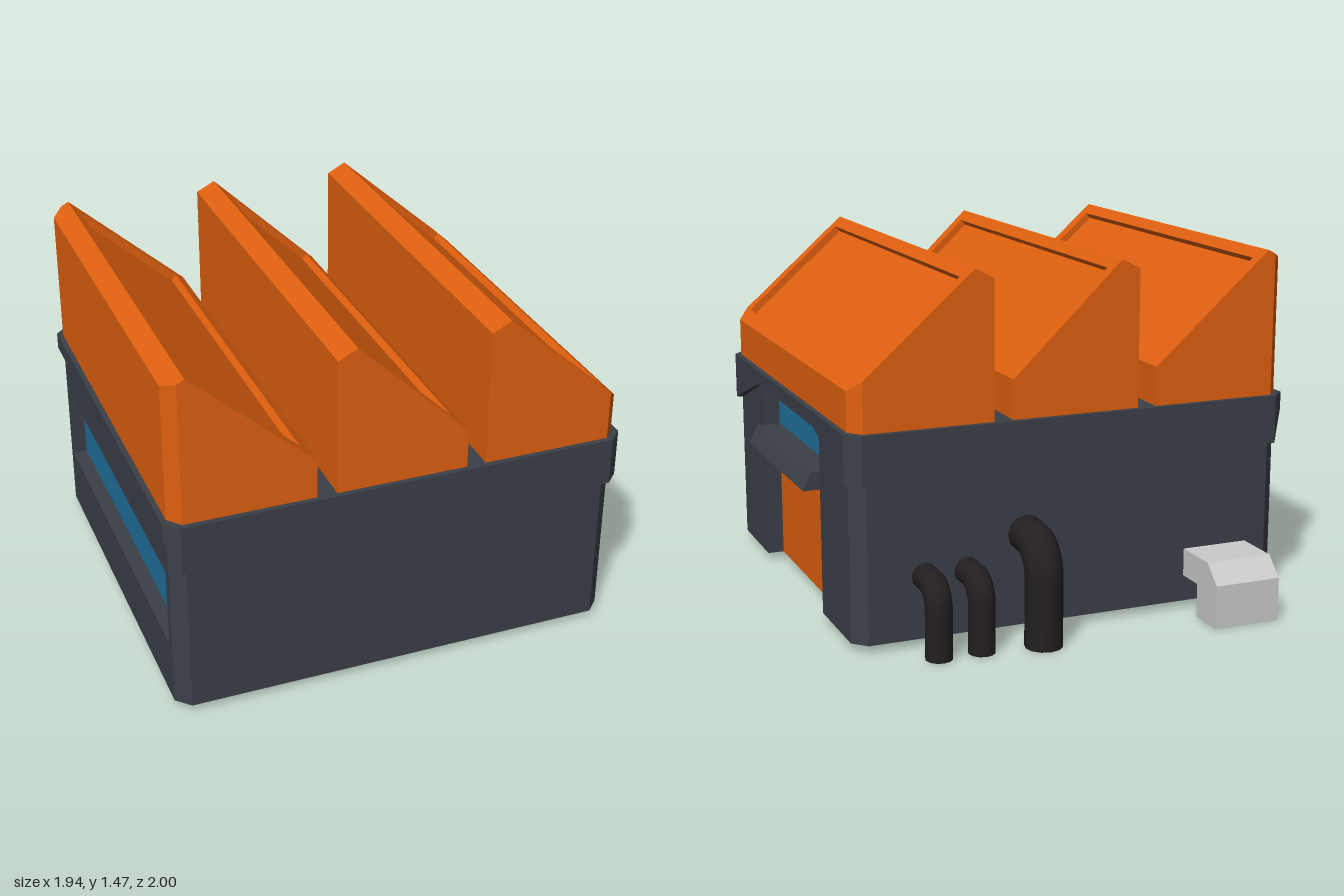
import * as THREE from 'three';

const mat = (color) => new THREE.MeshStandardMaterial({ color, side: THREE.DoubleSide, flatShading: true });
const ORANGE = mat(0xe0600f), WALL = mat(0x3b4048), GLASS = mat(0x21719c), GREY = mat(0xcccccc);
const PIPE = new THREE.MeshStandardMaterial({ color: 0x231f20, side: THREE.DoubleSide });

// Convex polygons (arrays of [x, y, z]) to a faceted geometry
function facets(polys) {
  const pos = [];
  for (const p of polys)
    for (let i = 1; i < p.length - 1; i++) pos.push(...p[0], ...p[i], ...p[i + 1]);
  const g = new THREE.BufferGeometry();
  g.setAttribute('position', new THREE.Float32BufferAttribute(pos, 3));
  g.computeVertexNormals();
  return g;
}

// Quads joining two closed loops, leaving out the listed edges
function ring(a, b, skip = []) {
  const quads = [];
  a.forEach((p, i) => {
    const j = (i + 1) % a.length;
    if (!skip.includes(i)) quads.push([p, a[j], b[j], b[i]]);
  });
  return quads;
}

// Rectangle in a plane of constant x
const rectX = (x, z0, z1, y0, y1) => [[x, y0, z0], [x, y0, z1], [x, y1, z1], [x, y1, z0]];

const X0 = -0.95, X1 = 0.9, Z0 = -0.72, Z1 = 0.975, C = 0.055;
const BASE = 0.03, BAND = 0.67, DECK = 0.87;
const DOOR = { z0: -0.295, z1: 0.545, top: 0.81, x: 0.83 };
const WIN = { z0: -0.64, z1: 0.88, y0: 0.28, y1: 0.61, x: -0.89 };

// Chamfered plan outline, each point at the height of the band's lower edge
function outline(o) {
  const x0 = X0 - o, x1 = X1 + o, z0 = Z0 - o, z1 = Z1 + o;
  return [
    [x0 + C, BAND, z1], [x1 - C, BAND, z1], [x1, BAND, z1 - C],
    [x1, DOOR.top, DOOR.z1], [x1, DOOR.top, DOOR.z0],
    [x1, BAND, z0 + C], [x1 - C, BAND, z0], [x0 + C, BAND, z0],
    [x0, 0.8, z0 + C], [x0, 0.8, z1 - C],
  ];
}
const atY = (loop, y) => loop.map(([x, , z]) => [x, y, z]);

// Sawtooth roof: chamfered shell with a recessed panel in its slope
function sawtooth(x0, x1, cutLeft, cutRight) {
  const g = new THREE.Group();
  g.name = 'roofTooth';
  const peak = x0 + 0.078, top = 1.47, eave = 1.03, tilt = (top - eave) / (x1 - peak);
  const section = (z, cl, cr) => [
    [x0 + cl, DECK, z], [x1 - cr, DECK, z], [x1 - cr, eave + cr * tilt, z],
    [peak, top, z], [x0 + cl, 1.43 + cl * 0.5, z],
  ];
  const cl = cutLeft ? 0.047 : 0, cr = cutRight ? 0.048 : 0;
  const s = [section(Z1, cl, cr), section(Z1 - C, 0, 0), section(Z0 + C, 0, 0), section(Z0, cl, cr)];
  const polys = [s[0], [...s[3]].reverse()];
  for (let i = 0; i < 3; i++) polys.push(...ring(s[i + 1], s[i], [0, 2]));
  const shell = new THREE.Mesh(facets(polys), ORANGE);
  shell.name = 'toothShell';

  // Slope frame, drawn flat: u runs down the slope, v runs along z
  const len = Math.hypot(x1 - peak, top - eave), k = len / (x1 - peak), c = cr * k;
  const frame = new THREE.Shape([
    [0, Z0], [len - c, Z0], [len, Z0 + (c ? C : 0)], [len, Z1 - (c ? C : 0)], [len - c, Z1], [0, Z1],
  ].map((p) => new THREE.Vector2(...p)));
  const u0 = 0.055, u1 = len - 0.065, v0 = -0.665, v1 = 0.915;
  frame.holes.push(new THREE.Path([[u0, v0], [u0, v1], [u1, v1], [u1, v0]].map((p) => new THREE.Vector2(...p))));
  const slope = new THREE.Group();
  const u = new THREE.Vector3(x1 - peak, eave - top, 0).normalize(), v = new THREE.Vector3(0, 0, 1);
  const inward = new THREE.Vector3().crossVectors(u, v);
  slope.applyMatrix4(new THREE.Matrix4().makeBasis(u, v, inward).setPosition(peak, top, 0));
  // the basis normal points out of the roof, so the frame sinks along -w
  const depth = 0.03, sign = inward.y > 0 ? -1 : 1;
  const rim = new THREE.Mesh(new THREE.ExtrudeGeometry(frame, { depth, bevelEnabled: false }), ORANGE);
  rim.position.z = sign < 0 ? -depth : 0;
  rim.name = 'slopeFrame';
  const panel = new THREE.Mesh(new THREE.PlaneGeometry(u1 - u0, v1 - v0), ORANGE);
  panel.position.set((u0 + u1) / 2, (v0 + v1) / 2, sign * depth);
  panel.name = 'slopePanel';
  slope.add(rim, panel);
  g.add(shell, slope);
  return g;
}

// Elbow pipe leaving the back wall and turning down to the ground
function elbow(x, r, y, z, bend) {
  const path = new THREE.CurvePath();
  const V = (yy, zz) => new THREE.Vector3(x, yy, zz);
  const pts = [V(y, Z0 + 0.02), V(y, z + bend)];
  for (let i = 1; i <= 6; i++) {
    const a = (i / 6) * Math.PI / 2;
    pts.push(V(y - bend + bend * Math.cos(a), z + bend - bend * Math.sin(a)));
  }
  pts.push(V(0, z));
  for (let i = 0; i < pts.length - 1; i++) path.add(new THREE.LineCurve3(pts[i], pts[i + 1]));
  const g = new THREE.Group();
  g.name = 'pipe';
  const tube = new THREE.Mesh(new THREE.TubeGeometry(path, 40, r, 12), PIPE);
  const cap = new THREE.Mesh(new THREE.CircleGeometry(r, 12), PIPE);
  cap.rotation.x = Math.PI / 2;
  cap.position.set(x, 0.002, z);
  g.add(tube, cap);
  return g;
}

export function createModel() {
  const model = new THREE.Group();
  model.name = 'factory';
  const add = (name, geometry, material) => {
    const m = new THREE.Mesh(geometry, material);
    m.name = name;
    model.add(m);
  };

  // Walls, open below, with a doorway on the left side and a long window opposite
  const inner = outline(0), outer = outline(0.022);
  add('walls', facets([
    ...ring(atY(inner, BASE), inner, [3, 8]),
    ...ring(rectX(X0, Z0 + C, Z1 - C, BASE, 0.8), rectX(X0, WIN.z0, WIN.z1, WIN.y0, WIN.y1)),
    ...ring(rectX(X0, WIN.z0, WIN.z1, WIN.y0, WIN.y1), rectX(WIN.x, WIN.z0, WIN.z1, WIN.y0, WIN.y1)),
    ...ring(rectX(X1, DOOR.z0, DOOR.z1, BASE, DOOR.top), rectX(DOOR.x, DOOR.z0, DOOR.z1, BASE, DOOR.top), [0]),
  ]), WALL);

  // Raised band around the top
  add('topBand', facets([...ring(outer, atY(outer, DECK)), ...ring(inner, outer)]), WALL);

  // Roof deck, cut out under each tooth
  const teeth = [[X0, -0.375, true, false], [-0.295, 0.243, false, false], [0.322, X1, false, true]];
  const deck = new THREE.Shape(outer.map(([x, , z]) => new THREE.Vector2(x, -z)));
  for (const [a, b, l, r] of teeth) {
    const cl = l ? C : 0, cr = r ? C : 0;
    deck.holes.push(new THREE.Path([
      [a + cl, Z1], ...(l ? [[a, Z1 - C], [a, Z0 + C]] : []), [a + cl, Z0],
      [b - cr, Z0], ...(r ? [[b, Z0 + C], [b, Z1 - C]] : []), [b - cr, Z1],
    ].map(([x, z]) => new THREE.Vector2(x, -z))));
  }
  add('roofDeck', new THREE.ShapeGeometry(deck).rotateX(-Math.PI / 2).translate(0, DECK, 0), WALL);
  for (const t of teeth) model.add(sawtooth(...t));

  // Door, glazing and awning
  add('door', facets([rectX(DOOR.x, DOOR.z1, DOOR.z0, BASE, 0.58)]), ORANGE);
  add('doorWindow', facets([rectX(DOOR.x, DOOR.z1, DOOR.z0, 0.58, DOOR.top)]), GLASS);
  add('sideWindow', facets([rectX(WIN.x, WIN.z0, WIN.z1, WIN.y0, WIN.y1)]), GLASS);
  const awning = (z) => [[DOOR.x, 0.55, z], [0.97, 0.55, z], [0.935, 0.625, z], [DOOR.x, 0.625, z]];
  const a1 = awning(DOOR.z1 - 0.005), a0 = awning(DOOR.z0);
  add('awning', facets([a1, [...a0].reverse(), ...ring(a0, a1)]), WALL);

  // Pipes and vent on the back wall
  model.add(elbow(0.19, 0.076, 0.408, -0.9, 0.12));
  for (const x of [0.438, 0.614]) model.add(elbow(x, 0.054, 0.286, -0.872, 0.085));
  const duct = new THREE.Shape([
    [0.72, 0.14], [0.84, 0.14], [0.84, 0], [1, 0], [1, 0.18], [0.92, 0.255], [0.72, 0.255],
  ].map((p) => new THREE.Vector2(...p)));
  const vent = new THREE.ExtrudeGeometry(duct, { depth: 0.285, bevelEnabled: false });
  add('vent', vent.rotateY(Math.PI / 2).translate(-0.803, 0, 0), GREY);
  return model;
}
